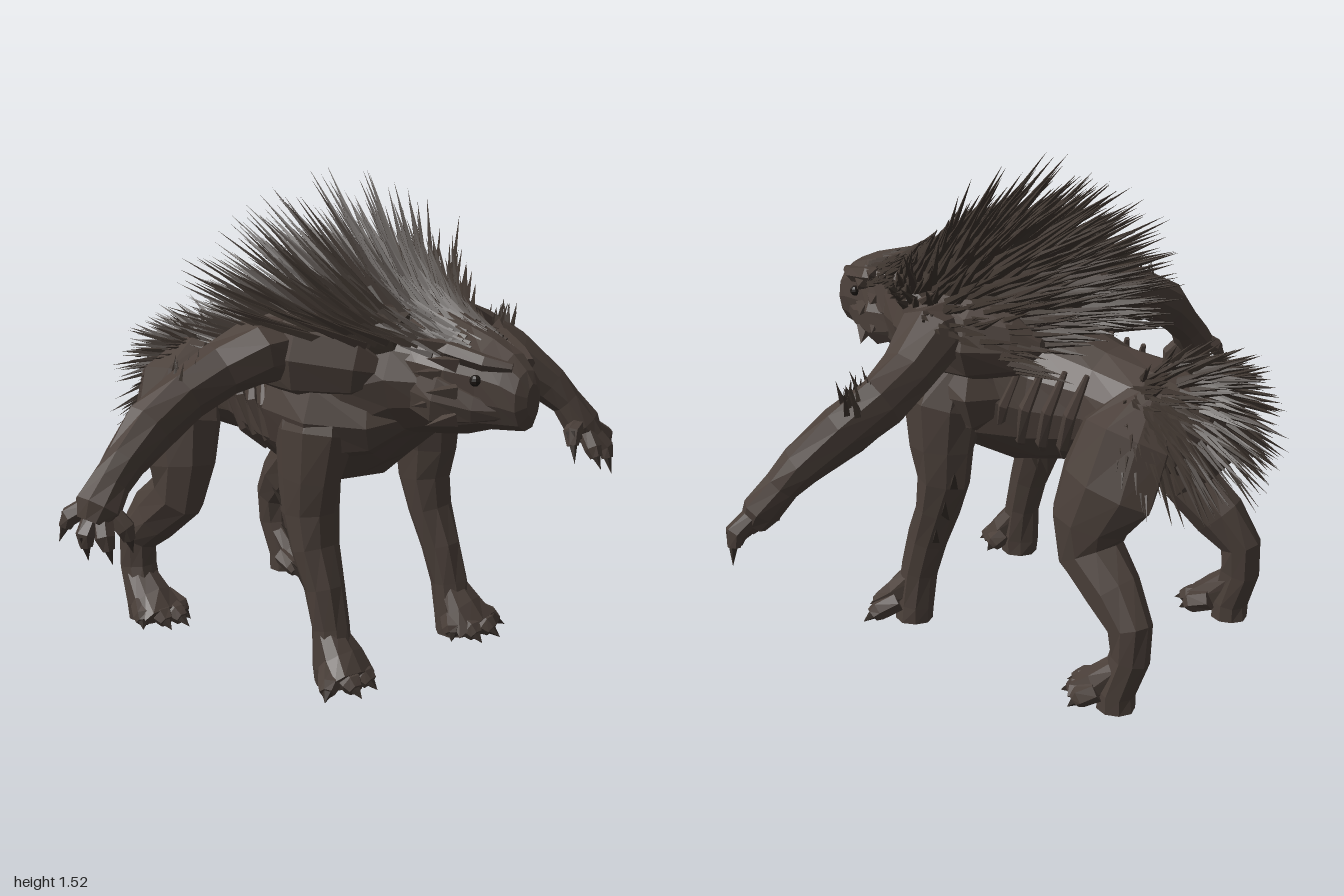
import * as THREE from 'three';
import { mergeGeometries } from 'three/addons/utils/BufferGeometryUtils.js';

const V = (x, y, z) => new THREE.Vector3(x, y, z);

export function createModel() {
  const group = new THREE.Group();
  let seed = 7;
  const rand = () => ((seed = (seed * 16807) % 2147483647) / 2147483647);
  const mat = (name, color) => {
    const m = new THREE.MeshStandardMaterial({ color, flatShading: true });
    m.name = name;
    return m;
  };
  const hide = mat('hide brown', 0x4a3f39);
  const quillMat = mat('quill brown', 0x3d342e);
  const clawMat = mat('claw brown', 0x372f2a);
  const eyeMat = mat('eye dark', 0x1c1714);

  const add = (name, geos, material) => {
    const mesh = new THREE.Mesh(Array.isArray(geos) ? mergeGeometries(geos) : geos, material);
    mesh.name = name;
    group.add(mesh);
    return mesh;
  };

  // Skin through sections [x, y, z, ru, rv]; a fixed tangent keeps all rings parallel
  function loft(secs, sides = 9, fixed = null, rough = 0.14) {
    const pts = secs.map((s) => V(s[0], s[1], s[2]));
    const all = pts[pts.length - 1].clone().sub(pts[0]).normalize();
    const ref = Math.abs(all.z) > 0.75 ? V(0, 1, 0) : V(0, 0, 1);
    const pos = [], idx = [], n = secs.length;
    secs.forEach(([, , , ru, rv = ru], i) => {
      const t = fixed ?? pts[Math.min(i + 1, n - 1)].clone().sub(pts[Math.max(i - 1, 0)]).normalize();
      const u = ref.clone().cross(t).normalize(), v = t.clone().cross(u);
      for (let j = 0; j < sides; j++) {
        const a = (j / sides) * Math.PI * 2, k = 1 + (rand() - 0.5) * rough;
        const p = pts[i].clone().addScaledVector(u, Math.cos(a) * ru * k).addScaledVector(v, Math.sin(a) * rv * k);
        pos.push(p.x, p.y, p.z);
      }
    });
    const a0 = n * sides;
    pos.push(...pts[0].toArray(), ...pts[n - 1].toArray());
    for (let j = 0; j < sides; j++) {
      const k = (j + 1) % sides, e = (n - 1) * sides;
      for (let i = 0; i < n - 1; i++) {
        const a = i * sides + j, b = i * sides + k;
        idx.push(a, b, b + sides, a, b + sides, a + sides);
      }
      idx.push(a0, k, j, a0 + 1, e + j, e + k);
    }
    const g = new THREE.BufferGeometry();
    g.setAttribute('position', new THREE.Float32BufferAttribute(pos, 3));
    g.setIndex(idx);
    const flat = g.toNonIndexed();
    flat.computeVertexNormals();
    return flat;
  }

  // Pointed quill from a root along a direction
  function spike(root, dir, len, rad, sides = 4) {
    const g = new THREE.ConeGeometry(rad, len, sides, 1).translate(0, len * 0.46, 0);
    g.applyQuaternion(new THREE.Quaternion().setFromUnitVectors(V(0, 1, 0), dir.clone().normalize()));
    return g.translate(root.x, root.y, root.z);
  }
  const spikeTo = (a, b, rad, sides) => spike(a, b.clone().sub(a), a.distanceTo(b), rad, sides);

  // Body profile rows: z, bottom, top, half width
  const bodyRows = [
    [-0.65, 0.74, 0.88, 0.07], [-0.6, 0.66, 0.93, 0.16], [-0.45, 0.65, 0.97, 0.2], [-0.28, 0.64, 0.99, 0.18],
    [-0.1, 0.58, 1.04, 0.22], [0.05, 0.55, 1.13, 0.28], [0.18, 0.58, 1.18, 0.31], [0.3, 0.67, 1.19, 0.27],
    [0.42, 0.77, 1.17, 0.2], [0.52, 0.8, 1.14, 0.15]];
  const headRows = [
    [0.4, 0.78, 1.17, 0.17], [0.5, 0.79, 1.16, 0.16], [0.59, 0.81, 1.13, 0.14], [0.67, 0.83, 1.1, 0.105],
    [0.74, 0.84, 1.07, 0.08], [0.785, 0.85, 1.03, 0.06], [0.805, 0.89, 0.99, 0.03]];
  const rowsToLoft = (rows, sides) => loft(
    rows.map(([z, b, t, w]) => [0, (b + t) / 2, z, w, (t - b) / 2]), sides, V(0, 0, 1), 0.07);
  add('torso', rowsToLoft(bodyRows, 14), hide);
  add('head', rowsToLoft(headRows, 11), hide);

  // Brows, cheeks, cheek fins and eyes
  const fins = [], brows = [];
  for (const s of [-1, 1]) {
    brows.push(
      loft([[s * 0.04, 1.035, 0.76, 0.015], [s * 0.08, 1.045, 0.69, 0.03, 0.025], [s * 0.115, 1.07, 0.59, 0.035, 0.03], [s * 0.13, 1.09, 0.48, 0.01]], 6),
      loft([[s * 0.05, 0.91, 0.74, 0.015, 0.03], [s * 0.085, 0.91, 0.66, 0.035, 0.05], [s * 0.13, 0.93, 0.56, 0.04, 0.08], [s * 0.14, 0.95, 0.44, 0.02, 0.06]], 7));
    for (let i = 0; i < 6; i++)
      fins.push(spike(V(s * 0.125, 0.88 + i * 0.04, 0.62 - (i % 2) * 0.05), V(s * 0.75, 0.1 * (i - 2), -0.5), 0.09, 0.028));
    const eye = add(s > 0 ? 'leftEye' : 'rightEye', new THREE.SphereGeometry(0.017, 8, 6), eyeMat);
    eye.position.set(s * 0.1, 0.995, 0.675);
  }
  add('browsAndCheeks', brows, hide);
  add('cheekFins', fins, hide);

  // Shoulder masses and ribs
  const masses = [], ribs = [];
  for (const s of [-1, 1]) {
    masses.push(
      loft([[s * 0.2, 1.03, -0.16, 0.02], [s * 0.22, 1.02, -0.08, 0.07, 0.1], [s * 0.27, 1.02, 0.04, 0.1, 0.13],
        [s * 0.28, 1.02, 0.18, 0.1, 0.13], [s * 0.2, 1.0, 0.32, 0.08, 0.1], [s * 0.15, 0.98, 0.4, 0.03]], 8),
      loft([[s * 0.18, 0.84, -0.04, 0.04, 0.06], [s * 0.22, 0.84, 0.06, 0.1, 0.14], [s * 0.23, 0.83, 0.2, 0.115, 0.15],
        [s * 0.15, 0.82, 0.33, 0.09, 0.1], [s * 0.1, 0.84, 0.42, 0.03, 0.04]], 8));
    for (let i = 0; i < 4; i++) {
      const z = -0.02 - i * 0.07, w = 0.24 - i * 0.018;
      ribs.push(loft([[s * w * 0.82, 0.95, z - 0.06, 0.008], [s * w * 0.97, 0.82, z - 0.02, 0.022],
        [s * w * 0.85, 0.7, z + 0.02, 0.022], [s * w * 0.55, 0.63, z + 0.06, 0.008]], 6));
    }
  }
  add('shoulderMuscles', masses, hide);
  add('ribs', ribs, hide);

  // Toe or finger: knuckled digit with a claw
  function digit(a, b, c, r, skin, claws) {
    skin.push(loft([[...a, r], [...b, r * 0.95], [...b.map((v, i) => v + (c[i] - v) * 0.4), r * 0.65]], 6));
    claws.push(spikeTo(V(...b), V(...c), r * 0.8, 5));
  }

  // Walking legs
  const sway = (s, x, y) => s * x + 0.025 * (1 - y);
  for (const s of [-1, 1]) {
    const side = s > 0 ? 'left' : 'right';
    const place = (list) => list.map(([x, y, z, ...r]) => [sway(s, x, y), y, z, ...r]);

    const skin = [
      loft(place([[0.2, 0.95, 0.16, 0.1, 0.12], [0.25, 0.78, 0.18, 0.105, 0.14], [0.265, 0.64, 0.175, 0.085, 0.115],
        [0.265, 0.53, 0.17, 0.08, 0.095], [0.27, 0.42, 0.195, 0.072, 0.072], [0.275, 0.3, 0.235, 0.06, 0.065],
        [0.28, 0.18, 0.265, 0.055, 0.06], [0.285, 0.06, 0.28, 0.06, 0.065], [0.285, 0.004, 0.28, 0.06, 0.065]])),
      loft(place([[0.28, 0.18, 0.26, 0.045, 0.04], [0.285, 0.1, 0.32, 0.075, 0.05], [0.295, 0.05, 0.375, 0.09, 0.035]]), 8)];
    const claws = [];
    for (const [x0, x1, z1] of [[0.24, 0.19, 0.35], [0.26, 0.25, 0.43], [0.31, 0.33, 0.44], [0.335, 0.43, 0.38]]) {
      const [a, b, c] = place([[x0, 0.075, 0.31], [(x0 + x1) / 2, 0.045, 0.31 + (z1 - 0.31) * 0.6], [x1, 0.012, z1]]);
      digit(a, b, c, 0.036, skin, claws);
    }
    // Spurs down the back of the leg
    for (let i = 0; i < 3; i++)
      claws.push(spike(V(sway(s, 0.29, 0.5), 0.52 - i * 0.11, 0.11 + i * 0.04), V(s * 0.4, 0.8, -0.4), 0.1, 0.022));
    add(side + 'FrontLeg', skin, hide);
    add(side + 'FrontClaws', claws, clawMat);

    const hind = [
      loft(place([[0.12, 0.92, -0.48, 0.05, 0.07], [0.2, 0.82, -0.47, 0.12, 0.15], [0.255, 0.68, -0.445, 0.115, 0.165],
        [0.275, 0.56, -0.4, 0.1, 0.125], [0.285, 0.46, -0.41, 0.085, 0.11], [0.3, 0.37, -0.51, 0.072, 0.095],
        [0.32, 0.28, -0.585, 0.06, 0.075], [0.325, 0.18, -0.585, 0.055, 0.065], [0.33, 0.06, -0.55, 0.058, 0.06], [0.33, 0.004, -0.55, 0.058, 0.06]])),
      loft(place([[0.325, 0.16, -0.57, 0.05, 0.04], [0.335, 0.085, -0.5, 0.07, 0.05], [0.34, 0.045, -0.43, 0.085, 0.035]]), 8)];
    const hindClaws = [];
    for (const [x0, x1, z1] of [[0.28, 0.26, -0.4], [0.31, 0.31, -0.35], [0.35, 0.37, -0.37], [0.38, 0.435, -0.44]]) {
      const [a, b, c] = place([[x0, 0.07, -0.51], [(x0 + x1) / 2, 0.045, -0.51 + (z1 + 0.51) * 0.6], [x1, 0.012, z1]]);
      digit(a, b, c, 0.036, hind, hindClaws);
    }
    add(side + 'HindLeg', hind, hide);
    add(side + 'HindClaws', hindClaws, clawMat);
  }

  // Raised arms, posed differently on each side
  const arms = {
    left: {
      path: [[0.14, 1.02, 0.13, 0.06], [0.26, 1.03, 0.13, 0.1], [0.38, 1.04, 0.13, 0.1, 0.11], [0.5, 0.975, 0.11, 0.088, 0.08], [0.61, 0.92, 0.12, 0.092, 0.07],
        [0.71, 0.85, 0.18, 0.095, 0.075], [0.8, 0.75, 0.27, 0.065, 0.06], [0.84, 0.69, 0.31, 0.055], [0.88, 0.61, 0.36, 0.07, 0.055], [0.9, 0.57, 0.38, 0.045]],
      digits: [[[0.79, 0.6, 0.38], [0.765, 0.5, 0.415]], [[0.86, 0.54, 0.42], [0.855, 0.47, 0.46]],
        [[0.93, 0.53, 0.42], [0.925, 0.44, 0.455]], [[0.97, 0.56, 0.39], [0.995, 0.46, 0.38]]],
      hand: [0.875, 0.63, 0.355], tuft: [0.67, 0.95, 0.14], lean: [0.25, 1, -0.1],
    },
    right: {
      path: [[-0.14, 1.02, 0.12, 0.06], [-0.26, 1.03, 0.11, 0.1], [-0.38, 1.03, 0.08, 0.1, 0.12], [-0.48, 0.985, 0.03, 0.088, 0.09], [-0.6, 0.925, 0, 0.082, 0.075],
        [-0.72, 0.85, -0.01, 0.08, 0.072], [-0.82, 0.77, -0.01, 0.062, 0.06], [-0.87, 0.72, -0.01, 0.055, 0.06], [-0.92, 0.66, -0.01, 0.065, 0.075], [-0.945, 0.62, -0.01, 0.04, 0.05]],
      digits: [[[-0.875, 0.6, 0.06], [-0.855, 0.52, 0.065]], [[-0.94, 0.585, 0.045], [-0.925, 0.5, 0.06]],
        [[-0.975, 0.59, 0], [-0.965, 0.51, 0]], [[-0.97, 0.63, -0.075], [-0.995, 0.55, -0.095]]],
      hand: [-0.91, 0.68, -0.01], tuft: [-0.58, 0.965, 0], lean: [0.3, 1, -0.1],
    },
  };
  for (const [side, arm] of Object.entries(arms)) {
    const skin = [loft(arm.path)], claws = [], tuft = [];
    for (const [knuckle, tip] of arm.digits) digit(arm.hand, knuckle, tip, 0.031, skin, claws);
    for (let i = 0; i < 16; i++)
      tuft.push(spike(V(...arm.tuft).add(V((rand() - 0.5) * 0.14, -0.01 - rand() * 0.02, (rand() - 0.5) * 0.08)),
        V(...arm.lean).add(V((rand() - 0.5) * 0.4, 0, (rand() - 0.5) * 0.6)), 0.08 + rand() * 0.04, 0.013));
    add(side + 'Arm', skin, hide);
    add(side + 'HandClaws', claws, clawMat);
    add(side + 'ElbowTuft', tuft, quillMat);
  }

  // Value from rows keyed by their first column
  const sample = (rows, z, c) => {
    const i = Math.max(1, rows.findIndex((r) => r[0] >= z));
    const [a, b] = [rows[i - 1], rows[i]];
    return THREE.MathUtils.lerp(a[c], b[c], (z - a[0]) / (b[0] - a[0]));
  };

  // Raised bed and long quills of the mane; rows: z, lift angle in degrees, quill length
  add('maneBed', loft([[0, 0.99, -0.14, 0.14, 0.05], [0, 1.03, 0, 0.25, 0.09], [0, 1.07, 0.15, 0.31, 0.11],
    [0, 1.08, 0.3, 0.28, 0.11], [0, 1.09, 0.43, 0.19, 0.08]], 12, V(0, 0, 1)), quillMat);
  const maneRows = [[-0.12, 7, 0.28], [0, 20, 0.42], [0.12, 33, 0.5], [0.22, 43, 0.52], [0.31, 51, 0.46], [0.4, 50, 0.28],
    [0.47, 38, 0.18], [0.6, 24, 0.1], [0.7, 18, 0.07]];
  const mane = [];
  for (let i = 0; i < 680; i++) {
    const z = -0.1 + 0.74 * ((i + rand()) / 680);
    const a = (rand() * 2 - 1) * 1.25;
    const rows = z > 0.46 ? headRows : bodyRows;
    const b = sample(rows, z, 1), t = sample(rows, z, 2), w = sample(rows, z, 3);
    const root = V(Math.sin(a) * w * 1.02, t - 0.02 - (1 - Math.cos(a)) * (t - b) * 0.3, z);
    const e = (sample(maneRows, z, 1) + 6 * Math.abs(a) + (rand() - 0.5) * 16) * Math.PI / 180;
    const d = a * 0.92 + (rand() - 0.5) * 0.25;
    const dir = V(Math.sin(d) * Math.sin(e), Math.cos(d) * Math.sin(e), -Math.cos(e));
    const len = sample(maneRows, z, 2) * (0.6 + rand() * 0.42) * (1 - 0.12 * Math.abs(a));
    mane.push(spike(root, dir, len, len > 0.2 ? 0.019 : 0.014));
  }
  add('maneQuills', mane, quillMat);

  // Rump quills fan sideways, back and down
  const rump = [];
  while (rump.length < 320) {
    const n = V(rand() * 2 - 1, rand() * 2 - 1, rand() * 2 - 1).normalize();
    if (n.z > 0.5 || n.y < -0.6) continue;
    const root = V(n.x * 0.22, 0.84 + n.y * 0.12, -0.49 + n.z * 0.13);
    const dir = V(n.x * 0.5, n.y * 0.6 - 0.28, n.z * 0.35 - 0.42).add(V(rand() - 0.5, rand() - 0.5, rand() - 0.5).multiplyScalar(0.25));
    const len = 0.09 + rand() * 0.08 + Math.max(0, -n.z) * 0.04 + Math.max(0, 0.4 - n.y) * 0.1;
    rump.push(spike(root, dir, len, 0.014));
  }
  add('rumpQuills', rump, quillMat);

  // Short bristles under the belly
  const bristles = [];
  for (let i = 0; i < 5; i++)
    bristles.push(spike(V((rand() - 0.5) * 0.1, 0.57, 0.04 - i * 0.02), V(0, -1, -0.3), 0.06 + rand() * 0.02, 0.016));
  add('bellyBristles', bristles, quillMat);

  return group;
}
